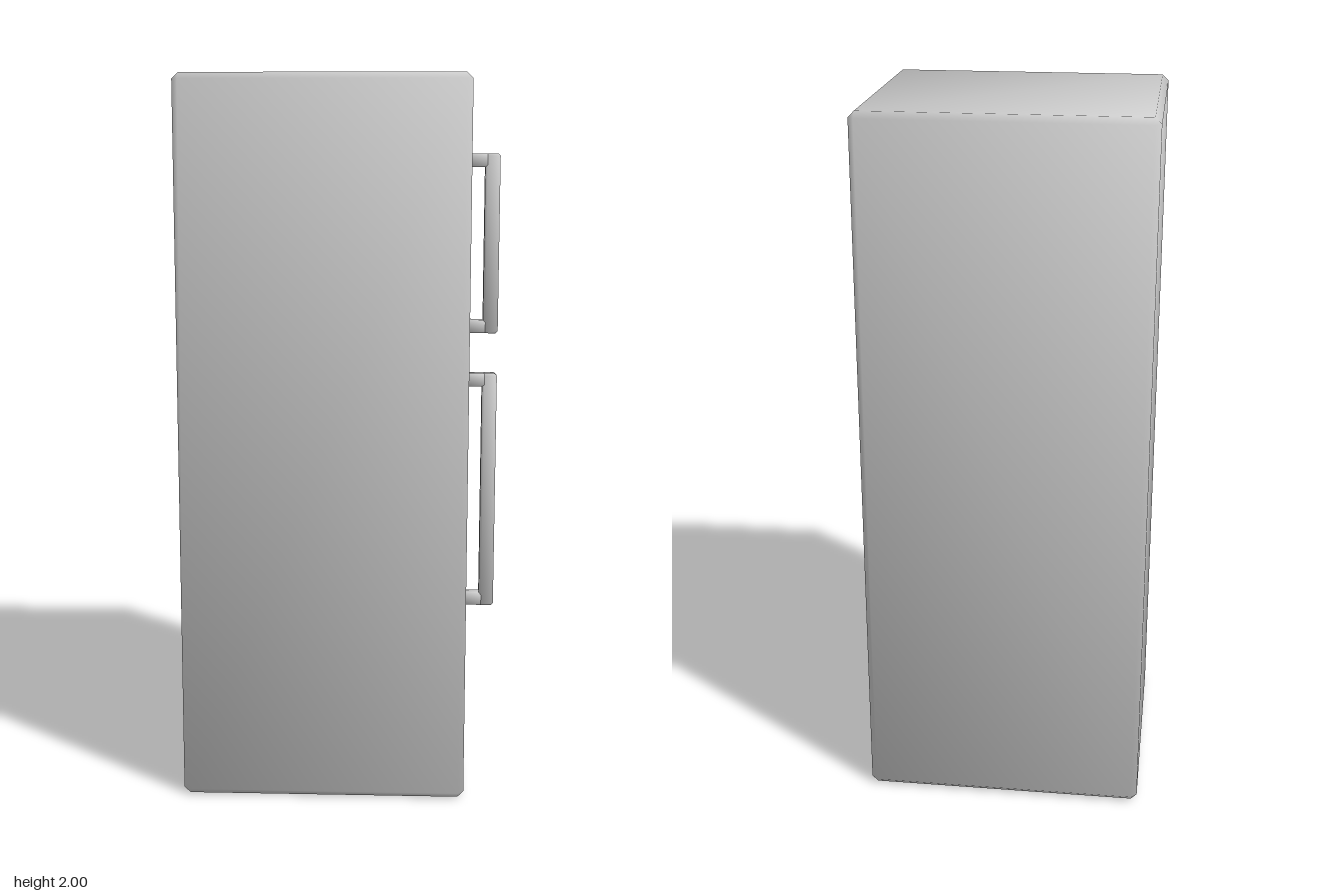
import * as THREE from 'three';
import { ConvexGeometry } from 'three/addons/geometries/ConvexGeometry.js';

const material = new THREE.MeshStandardMaterial({ color: 0xcccccc });

// Box between two corners with single-step chamfers and smooth-shaded edges
function chamferBox(name, min, max, bevel) {
  const size = max.map((v, i) => v - min[i]);
  const half = size.map((v) => v / 2);
  const points = [];
  for (const sx of [-1, 1]) for (const sy of [-1, 1]) for (const sz of [-1, 1]) {
    const sign = [sx, sy, sz];
    for (let axis = 0; axis < 3; axis++) {
      // One point per face meeting at this corner
      const p = sign.map((s, i) => s * (half[i] - (i === axis ? 0 : bevel)));
      points.push(new THREE.Vector3(...p));
    }
  }
  const geometry = new ConvexGeometry(points);

  // Vertex normal: average of the face, two edge chamfers and the corner cut
  const pos = geometry.attributes.position;
  const normal = geometry.attributes.normal;
  const n = new THREE.Vector3();
  for (let i = 0; i < pos.count; i++) {
    const p = [pos.getX(i), pos.getY(i), pos.getZ(i)];
    const weights = p.map((v, k) => {
      const onFace = Math.abs(v) > half[k] - bevel / 2;
      return Math.sign(v) * (onFace ? 2.99 : 1.28);
    });
    n.fromArray(weights).normalize();
    normal.setXYZ(i, n.x, n.y, n.z);
  }

  const mesh = new THREE.Mesh(geometry, material);
  mesh.name = name;
  mesh.position.set(...min.map((v, i) => v + half[i]));
  return mesh;
}

// Upright grip bar held off the side by a bracket at each end
function createHandle(name, bottom, top) {
  const handle = new THREE.Group();
  handle.name = name;
  const z0 = 0.268, z1 = 0.309, thick = 0.036, bevel = 0.006;
  handle.add(chamferBox('gripBar', [0.393, bottom, z0], [0.433, top, z1], bevel));
  for (const [label, y] of [['lowerBracket', bottom], ['upperBracket', top - thick]]) {
    handle.add(chamferBox(label, [0.345, y, z0], [0.405, y + thick, z1], bevel));
  }
  return handle;
}

export function createModel() {
  const model = new THREE.Group();
  model.name = 'refrigerator';
  model.add(chamferBox('cabinet', [-0.434, 0, -0.357], [0.357, 2, 0.357], 0.017));
  model.add(createHandle('upperHandle', 1.312, 1.79));
  model.add(createHandle('lowerHandle', 0.552, 1.202));
  return model;
}
